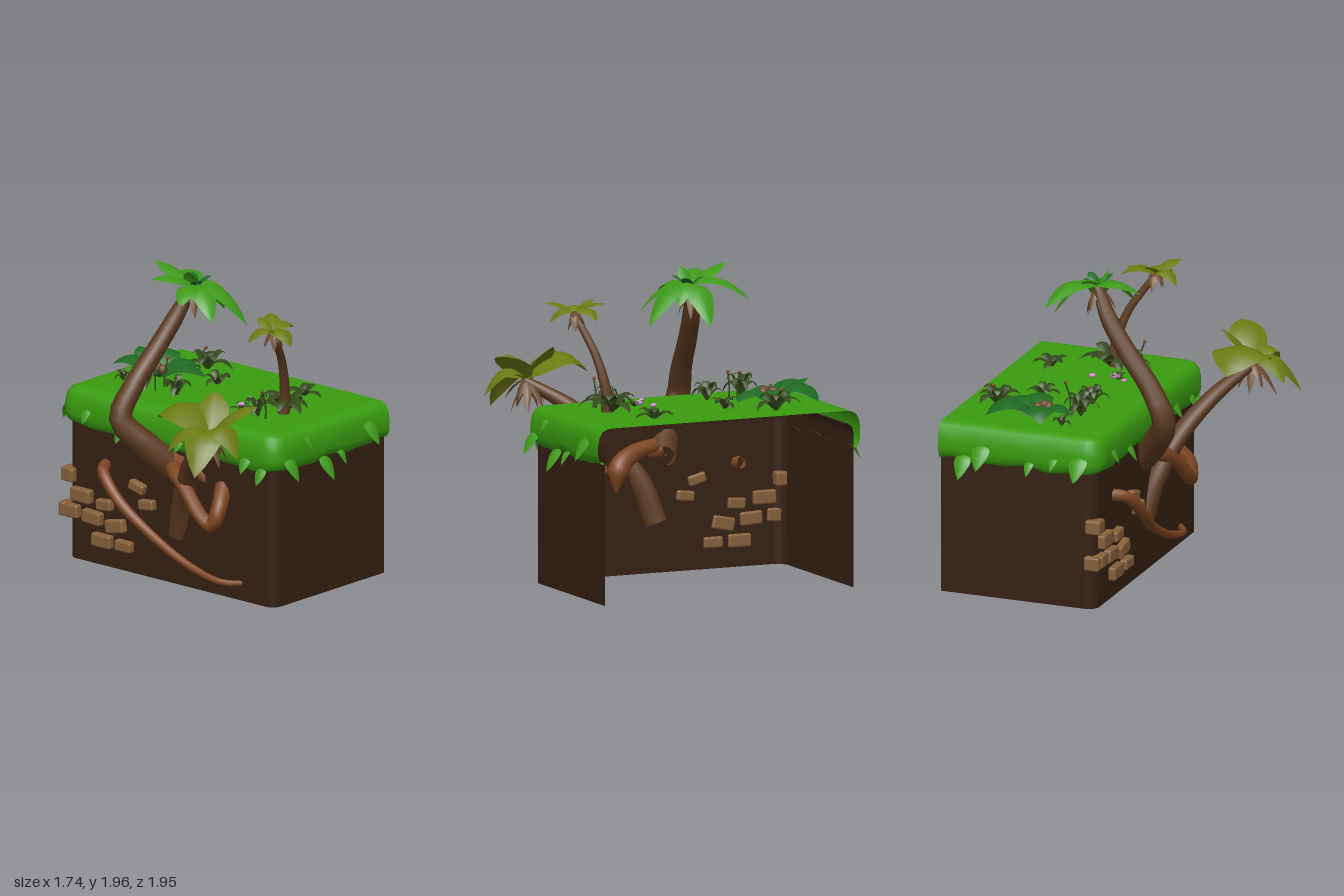
import * as THREE from 'three';
import { mergeVertices } from 'three/addons/utils/BufferGeometryUtils.js';
import { RoundedBoxGeometry } from 'three/addons/geometries/RoundedBoxGeometry.js';

const V = (x, y, z) => new THREE.Vector3(x, y, z);
const mats = {};
const mat = (color) => (mats[color] ??= new THREE.MeshStandardMaterial({ color, side: THREE.DoubleSide }));
const SOIL = 0x342013, GRASS = 0x3a9c10, LEAF = 0x3f9a1a, DARKLEAF = 0x1f6a22, OLIVE = 0x6c7a12,
  SHADE = 0x33481a, BARK = 0x5c3a20, DRY = 0x6b4a2c, ROOT = 0x7d4420, BRICK = 0x86603a, PINK = 0xd48ad0;

function add(parent, name, geo, color) {
  const m = new THREE.Mesh(geo, mat(color));
  m.name = name;
  parent.add(m);
  return m;
}

function group(parent, name) {
  const g = new THREE.Group();
  g.name = name;
  parent.add(g);
  return g;
}

// Smooth surface over a grid of points given by fn(i, j)
function grid(nu, nv, fn) {
  const pos = [], idx = [];
  for (let i = 0; i <= nu; i++) for (let j = 0; j <= nv; j++) pos.push(...fn(i, j).toArray());
  for (let i = 0; i < nu; i++) for (let j = 0; j < nv; j++) {
    const a = i * (nv + 1) + j, b = a + nv + 1;
    idx.push(a, b, a + 1, b, b + 1, a + 1);
  }
  let geo = new THREE.BufferGeometry();
  geo.setAttribute('position', new THREE.Float32BufferAttribute(pos, 3));
  geo.setIndex(idx);
  geo = mergeVertices(geo, 1e-5);
  geo.computeVertexNormals();
  return geo;
}

// Tapered, bent tube; radii are spread evenly along the path
function limb(points, radii, n = 24, sides = 10) {
  const curve = new THREE.CatmullRomCurve3(points.map((p) => V(...p)));
  const frames = curve.computeFrenetFrames(n, false);
  return grid(n, sides, (i, j) => {
    const f = (i / n) * (radii.length - 1), k = Math.min(Math.floor(f), radii.length - 2);
    const r = THREE.MathUtils.lerp(radii[k], radii[k + 1], f - k), a = ((j % sides) / sides) * Math.PI * 2;
    return curve.getPointAt(i / n).addScaledVector(frames.normals[i], r * Math.cos(a))
      .addScaledVector(frames.binormals[i], r * Math.sin(a));
  });
}

// Pointed leaf with a folded midrib, arching from base to tip
function leaf(base, tip, width, arch = 0.08) {
  const b = V(...base), t = V(...tip);
  const mid = b.clone().lerp(t, 0.5).add(V(0, arch * 2, 0));
  const curve = new THREE.QuadraticBezierCurve3(b, mid, t);
  const dir = t.clone().sub(b);
  const side = V(dir.z, 0, -dir.x).normalize();
  const up = dir.clone().normalize().cross(side).normalize();
  return grid(8, 4, (i, j) => {
    const u = i / 8, s = (j - 2) / 2;
    const w = (width / 2) * Math.pow(Math.max(0, Math.sin(Math.PI * Math.pow(u, 0.85))), 0.75);
    const droop = 0.3 * w * Math.pow(Math.abs(s), 1.5);
    return curve.getPoint(u).addScaledVector(side, s * w).addScaledVector(up, -droop);
  });
}

// Fan of leaves from a centre; each tip is [x, y, z, width, arch]
function crown(parent, name, c, tips, color) {
  const g = group(parent, name);
  for (const [x, y, z, w, arch] of tips) add(g, 'leaf', leaf(c, [x, y, z], w, arch), color);
}

// Ring of n dry fronds hanging beneath a crown
function dryFronds(parent, c, n, reach, drop) {
  const g = group(parent, 'dryFronds');
  for (let i = 0; i < n; i++) {
    const a = (i / n) * Math.PI * 2 + 0.4, r = reach * (0.75 + 0.25 * Math.sin(i * 5));
    const tip = [c[0] + r * Math.cos(a), c[1] - drop * (0.8 + 0.2 * Math.cos(i * 3)), c[2] + r * Math.sin(a)];
    add(g, 'dryFrond', leaf(c, tip, 0.055, 0.04), DRY);
  }
}

// Low ground plant
function plant(parent, x, z, r, h, n) {
  const g = group(parent, 'groundPlant');
  for (let i = 0; i < n; i++) {
    const a = (i / n) * Math.PI * 2 + x * 9, q = r * (0.8 + 0.2 * Math.sin(i * 4 + z));
    const tip = [x + q * Math.cos(a), 1.11 + h * (0.4 + 0.3 * Math.sin(i * 2.3)), z + q * Math.sin(a)];
    add(g, 'leaf', leaf([x, 1.1, z], tip, r * 0.42, h * 0.55), SHADE);
  }
}

// Sweep a profile of [outward offset, height] round the three closed sides
function sweepSides(profile, wave = 0) {
  const path = [], X0 = -0.16, X1 = 0.87, Z = 0.85, R = 0.07;
  const side = (x0, z0, x1, z1, nx, nz, n) => {
    for (let i = 0; i <= n; i++) path.push([x0 + ((x1 - x0) * i) / n, z0 + ((z1 - z0) * i) / n, nx, nz]);
  };
  const corner = (cx, cz, a0) => {
    for (let i = 1; i < 6; i++) {
      const a = a0 + (i / 6) * (Math.PI / 2);
      path.push([cx + R * Math.cos(a), cz + R * Math.sin(a), Math.cos(a), Math.sin(a)]);
    }
  };
  side(X1, Z, X0 + R, Z, 0, 1, 28);
  corner(X0 + R, Z - R, Math.PI / 2);
  side(X0, Z - R, X0, R - Z, -1, 0, 44);
  corner(X0 + R, R - Z, Math.PI);
  side(X0 + R, -Z, X1, -Z, 0, -1, 28);
  return grid(path.length - 1, profile.length - 1, (i, j) => {
    const [x, z, nx, nz] = path[i], [o, y] = profile[j];
    const s = Math.sin(x * 14 + z * 11) + 0.6 * Math.sin(x * 25 - z * 23);
    const k = wave * s * Math.max(0, (1.05 - y) / 0.18);
    const out = o > 0 ? o + k * 0.3 : o;
    return V(x + nx * out, y + k, z + nz * out);
  });
}

export function createModel() {
  const root = new THREE.Group();
  root.name = 'jungleBlock';

  // Earth walls, open at the base and on the +x side
  add(root, 'earthWalls', sweepSides([[0, 0], [0, 0.45], [0, 0.9], [0, 0.97], [-0.012, 1.01], [-0.04, 1.03], [-0.06, 1.03]]), SOIL);

  // Grass cover with a rounded, wavy lip
  add(root, 'grassLip', sweepSides([[-0.06, 1.11], [-0.02, 1.107], [0.015, 1.09], [0.037, 1.055], [0.045, 1.0],
    [0.045, 0.94], [0.035, 0.9], [0.015, 0.875], [-0.004, 0.88]], 0.011), GRASS);
  const top = add(root, 'grassTop', new THREE.PlaneGeometry(0.97, 1.58), GRASS);
  top.rotation.x = -Math.PI / 2;
  top.position.set(0.385, 1.11, 0);

  // Leaves hanging over the lip: [position along edge, height, length]
  const hang = group(root, 'edgeLeaves');
  for (const [x, y, l] of [[-0.07, 0.96, 0.14], [0.1, 1.05, 0.07], [0.26, 0.9, 0.14], [0.41, 0.9, 0.08], [0.68, 1.03, 0.14]]) {
    add(hang, 'edgeLeaf', leaf([x, y, 0.88], [x + 0.01, y - l, 0.9 + l * 0.5], l * 0.8, 0.035), LEAF);
  }
  for (const [x, y, l] of [[-0.07, 1.0, 0.15], [0.1, 0.96, 0.07], [0.26, 0.92, 0.08], [0.58, 1.0, 0.15], [0.7, 0.92, 0.14]]) {
    add(hang, 'edgeLeaf', leaf([x, y, -0.88], [x + 0.01, y - l, -0.9 - l * 0.5], l * 0.8, 0.035), LEAF);
  }
  for (const [z, y, l] of [[-0.66, 1.0, 0.09], [-0.38, 0.94, 0.1], [0.1, 0.95, 0.08], [0.38, 0.98, 0.1], [0.65, 0.95, 0.1], [0.78, 0.9, 0.1]]) {
    add(hang, 'edgeLeaf', leaf([-0.19, y, z], [-0.2 - l * 0.5, y - l, z], l * 0.8, 0.025), LEAF);
  }

  // Exposed bricks on the -x wall: [z, y, width, height, tilt]
  const bricks = group(root, 'bricks');
  for (const [z, y, w, h, tilt] of [[-0.26, 0.57, 0.12, 0.065, 0.25], [-0.18, 0.47, 0.12, 0.065, -0.12],
    [-0.53, 0.4, 0.12, 0.07, -0.08], [-0.72, 0.425, 0.16, 0.09, 0], [-0.44, 0.28, 0.15, 0.085, -0.2],
    [-0.63, 0.3, 0.15, 0.085, 0.05], [-0.79, 0.31, 0.1, 0.085, -0.04], [-0.875, 0.31, 0.055, 0.09, 0],
    [-0.37, 0.165, 0.13, 0.07, 0], [-0.55, 0.165, 0.155, 0.085, 0], [-0.83, 0.54, 0.1, 0.09, 0.03]]) {
    const corner = z < -0.82;
    const b = add(bricks, 'brick', new RoundedBoxGeometry(corner ? 0.1 : 0.065, h, w, 2, 0.014), BRICK);
    b.position.set(corner ? -0.15 : -0.172, y, z);
    b.rotation.x = tilt;
  }

  // Tall green palm growing from the side wall
  const tall = group(root, 'tallPalm');
  add(tall, 'trunk', limb([[-0.13, 0.74, 0], [-0.26, 0.88, -0.1], [-0.37, 1.06, -0.23], [-0.28, 1.25, -0.21],
    [-0.1, 1.47, -0.17], [0.04, 1.66, -0.13], [0.13, 1.84, -0.08]], [0.1, 0.085, 0.075, 0.065, 0.06, 0.055, 0.035]), BARK);
  crown(tall, 'crown', [0.14, 1.84, -0.07], [[0.36, 1.76, -0.38, 0.17, 0.09], [0.43, 1.62, -0.08, 0.18, 0.09],
    [0.26, 1.62, 0.26, 0.18, 0.1], [0, 1.68, 0.2, 0.16, 0.08], [-0.11, 1.78, 0.03, 0.14, 0.05], [-0.09, 1.9, -0.22, 0.17, 0.04],
    [0.08, 1.96, -0.34, 0.15, 0.02], [0.32, 1.74, 0.08, 0.13, 0.07], [0.06, 1.95, -0.05, 0.1, 0.01]], LEAF);
  crown(tall, 'innerCrown', [0.14, 1.83, -0.07], [[0.22, 1.9, 0, 0.07, 0.02], [0.2, 1.9, -0.15, 0.07, 0.02], [0.07, 1.9, 0.02, 0.07, 0.02]], DARKLEAF);
  dryFronds(tall, [0.13, 1.81, -0.08], 7, 0.13, 0.17);

  // Leaning olive palm on the side wall
  const lean = group(root, 'leaningPalm');
  add(lean, 'trunk', limb([[-0.12, 0.32, 0.04], [-0.17, 0.55, 0.11], [-0.27, 0.8, 0.25], [-0.42, 1.02, 0.46],
    [-0.6, 1.19, 0.71]], [0.075, 0.07, 0.06, 0.05, 0.03]), BARK);
  crown(lean, 'crown', [-0.6, 1.2, 0.71], [[-0.58, 1.22, 0.29, 0.38, 0.15], [-0.42, 1.38, 0.94, 0.24, 0.06],
    [-0.87, 1.0, 0.82, 0.24, 0.12], [-0.85, 1.12, 0.58, 0.18, 0.1], [-0.64, 1.1, 0.97, 0.2, 0.12], [-0.42, 1.42, 0.6, 0.2, 0.03]], OLIVE);
  dryFronds(lean, [-0.59, 1.19, 0.7], 9, 0.17, 0.2);

  // Small curved palm on the grass
  const small = group(root, 'smallPalm');
  add(small, 'trunk', limb([[0.27, 1.09, 0.55], [0.27, 1.24, 0.56], [0.2, 1.46, 0.6], [0.11, 1.6, 0.64], [0.04, 1.7, 0.67]],
    [0.042, 0.033, 0.027, 0.024, 0.02]), BARK);
  crown(small, 'crown', [0.04, 1.7, 0.67], [[0.26, 1.68, 0.62, 0.13, 0.06], [0.18, 1.77, 0.52, 0.11, 0.03], [0.02, 1.65, 0.83, 0.14, 0.06],
    [-0.12, 1.66, 0.6, 0.12, 0.06], [0.04, 1.78, 0.54, 0.1, 0.02], [-0.06, 1.76, 0.82, 0.11, 0.03]], OLIVE);
  dryFronds(small, [0.05, 1.69, 0.67], 6, 0.08, 0.1);

  // Roots and vine weaving through the side wall
  const roots = group(root, 'roots');
  add(roots, 'innerRoot', limb([[-0.2, 0.84, -0.1], [-0.16, 0.81, 0], [-0.13, 0.77, 0.18], [-0.09, 0.69, 0.3], [-0.07, 0.55, 0.33], [-0.07, 0.54, 0.33]],
    [0.035, 0.045, 0.05, 0.06, 0.07, 0.01]), ROOT);
  add(roots, 'outerRoot', limb([[-0.14, 0.78, -0.03], [-0.21, 0.75, 0.07], [-0.26, 0.68, 0.2], [-0.29, 0.53, 0.36],
    [-0.28, 0.48, 0.44], [-0.25, 0.58, 0.47], [-0.13, 0.7, 0.41]], [0.05, 0.05, 0.045, 0.045, 0.05, 0.055]), ROOT);
  add(roots, 'vine', limb([[-0.12, 0.66, -0.55], [-0.23, 0.64, -0.5], [-0.27, 0.5, -0.35], [-0.25, 0.33, -0.12], [-0.24, 0.17, 0.22],
    [-0.22, 0.11, 0.48], [-0.13, 0.11, 0.6]], [0.04, 0.036, 0.03, 0.025, 0.018], 36, 8), ROOT);

  // Broad-leaved bush with a cluster of nuts
  const bush = group(root, 'broadBush');
  crown(bush, 'leaves', [0.34, 1.1, -0.55], [[0.62, 1.14, -0.73, 0.24, 0.12], [0.6, 1.13, -0.42, 0.22, 0.09], [0.22, 1.16, -0.82, 0.2, 0.1],
    [0.13, 1.13, -0.52, 0.17, 0.08], [0.45, 1.14, -0.25, 0.18, 0.08], [0.4, 1.25, -0.76, 0.18, 0.04]], DARKLEAF);
  for (const [x, z] of [[0.28, -0.52], [0.34, -0.55], [0.32, -0.49]]) {
    add(bush, 'nut', new THREE.SphereGeometry(0.032, 12, 8), DRY).position.set(x, 1.17, z);
  }

  // Ground plants: [x, z, reach, height, leaves]
  const plants = group(root, 'undergrowth');
  for (const [x, z, r, h, n] of [[0.66, -0.42, 0.17, 0.13, 8], [0.1, -0.44, 0.13, 0.17, 8], [0.46, -0.16, 0.12, 0.09, 6],
    [0.14, -0.66, 0.07, 0.08, 6], [0.63, 0.4, 0.14, 0.08, 6], [0.29, 0.54, 0.21, 0.14, 9], [0.11, 0.48, 0.11, 0.15, 7],
    [0.15, 0.31, 0.08, 0.05, 5], [0.12, -0.2, 0.12, 0.13, 8]]) plant(plants, x, z, r, h, n);

  // Slender budded stems and pink flowers
  for (const [x, z, dx, h] of [[0.1, 0.55, -0.03, 1.29], [0.2, -0.37, 0.03, 1.29], [0.1, -0.36, -0.02, 1.27], [0.62, -0.45, 0.06, 1.24]]) {
    add(plants, 'stem', limb([[x, 1.1, z], [x, 1.19, z], [x + dx, h, z]], [0.006, 0.005], 8, 5), SHADE);
    add(plants, 'bud', new THREE.SphereGeometry(0.011, 8, 6), ROOT).position.set(x + dx, h, z);
  }
  for (const [x, z, r] of [[0.08, 0.23, 0.018], [0.17, 0.29, 0.026], [0.3, 0.25, 0.022]]) {
    const f = add(plants, 'flower', new THREE.SphereGeometry(r, 8, 6), PINK);
    f.position.set(x, 1.135, z);
    f.scale.y = 0.6;
  }
  return root;
}
